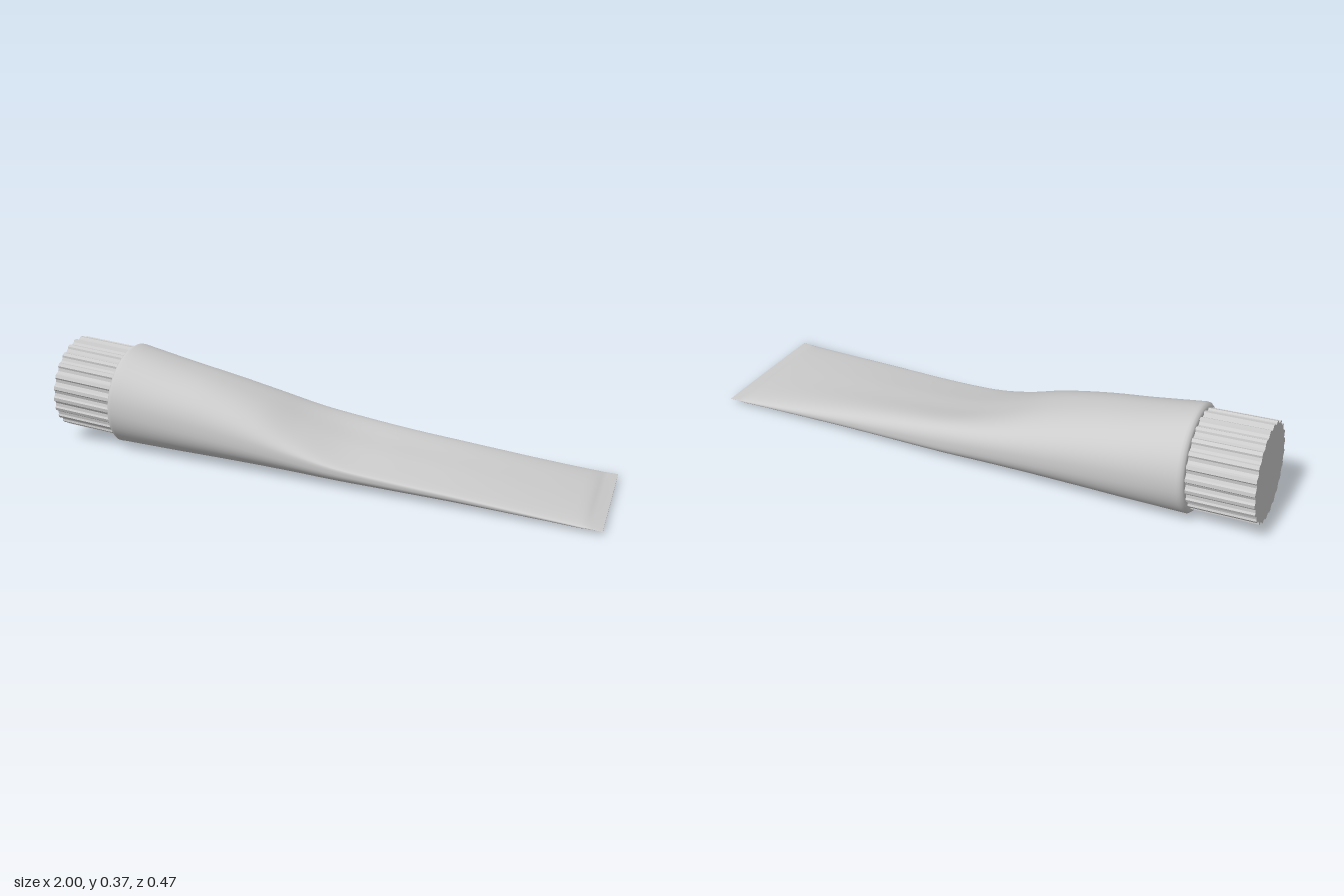
import * as THREE from 'three';

const material = new THREE.MeshStandardMaterial({ color: 0xcccccc });
const LEAN = 0.09; // the round end tips back slightly

// Cross-sections along the tube:
// x, bottom, widest height, top, half width, skew of the top, roundness power
const SECTIONS = [
  [-0.74, 0.006, 0.186, 0.366, 0.185, 0, 0.96],
  [-0.55, 0.005, 0.160, 0.319, 0.188, 0, 0.9],
  [-0.38, 0.005, 0.137, 0.281, 0.190, 0, 0.87],
  [-0.20, 0.005, 0.114, 0.231, 0.193, 0.008, 0.84],
  [-0.05, 0.005, 0.093, 0.178, 0.195, 0.028, 0.8],
  [0.10, 0.005, 0.073, 0.137, 0.199, 0.045, 0.76],
  [0.30, 0.005, 0.056, 0.108, 0.204, 0.038, 0.76],
  [0.50, 0.004, 0.045, 0.085, 0.212, 0.027, 0.78],
  [0.75, 0.002, 0.029, 0.055, 0.223, 0.012, 0.8],
  [0.93, 0.002, 0.017, 0.035, 0.231, 0.002, 0.85],
];

const power = (v, p) => Math.sign(v) * Math.abs(v) ** p;

function ringPoints([x, bottom, mid, top, width, skew, p], count) {
  const points = [];
  const lean = LEAN * THREE.MathUtils.clamp((0.1 - x) / 0.85, 0, 1);
  for (let j = 0; j < count; j++) {
    const a = (j / count) * Math.PI * 2;
    const c = Math.cos(a), s = Math.sin(a);
    let y = mid + power(s, p) * (s > 0 ? top - mid : mid - bottom);
    // squeezed top: lower at the front, higher at the back, with a shallow dip
    if (s > 0) y -= skew * (c * s + 0.25 * s ** 4);
    points.push(x + lean * (y - 0.186), y, width * power(c, p));
  }
  return points;
}

function tubeGeometry() {
  const count = 64, steps = 64;
  const rings = [];
  // rounded shoulder running in under the cap
  for (const [x, r] of [[-0.762, 0.12], [-0.762, 0.166], [-0.758, 0.175], [-0.75, 0.182]]) {
    rings.push([x, 0.186 - r, 0.186, 0.186 + r, r + 0.002, 0, 0.98]);
  }
  // body, smoothly interpolated
  const spline = new THREE.CubicInterpolant(
    SECTIONS.map((s) => s[0]), SECTIONS.flatMap((s) => s.slice(1)), 6);
  for (let i = 0; i <= steps; i++) {
    const x = THREE.MathUtils.lerp(-0.74, 0.93, i / steps);
    rings.push([x, ...spline.evaluate(x)]);
  }
  // flattened seal at the end
  rings.push([0.95, 0.006, 0.017, 0.028, 0.232, 0, 0.85]);
  rings.push([0.965, 0.011, 0.017, 0.021, 0.233, 0, 0.85]);
  rings.push([1, 0.013, 0.015, 0.017, 0.235, 0, 0.85]);
  rings.push([1, 0.015, 0.015, 0.015, 0.235, 0, 0.85]);

  const position = rings.flatMap((r) => ringPoints(r, count));
  const index = [];
  for (let i = 0; i < rings.length - 1; i++) {
    for (let j = 0; j < count; j++) {
      const k = (j + 1) % count;
      const a = i * count + j, b = a + count;
      const c = i * count + k, d = c + count;
      index.push(a, b, c, b, d, c);
    }
  }
  const geometry = new THREE.BufferGeometry();
  geometry.setAttribute('position', new THREE.Float32BufferAttribute(position, 3));
  geometry.setIndex(index);
  geometry.computeVertexNormals();
  return geometry;
}

// Ribbed outline extruded along the cap's axis
function capGeometry() {
  const ribs = 24, outline = [];
  const profile = [[0, 0.158], [0.25, 0.162], [0.36, 0.168], [0.64, 0.168], [0.75, 0.162]];
  for (let i = 0; i < ribs; i++) {
    for (const [t, r] of profile) {
      const a = ((i + t) / ribs) * Math.PI * 2;
      outline.push(new THREE.Vector2(r * Math.cos(a), r * Math.sin(a)));
    }
  }
  return new THREE.ExtrudeGeometry(new THREE.Shape(outline), { depth: 0.236, bevelEnabled: false })
    .rotateY(Math.PI / 2);
}

export function createModel() {
  const model = new THREE.Group();
  model.name = 'squeezeTube';

  const tube = new THREE.Mesh(tubeGeometry(), material);
  tube.name = 'tubeBody';
  model.add(tube);

  const cap = new THREE.Mesh(capGeometry(), material);
  cap.name = 'ribbedCap';
  cap.position.set(-0.984, 0.208, 0);
  cap.rotation.z = -LEAN;
  model.add(cap);

  return model;
}
